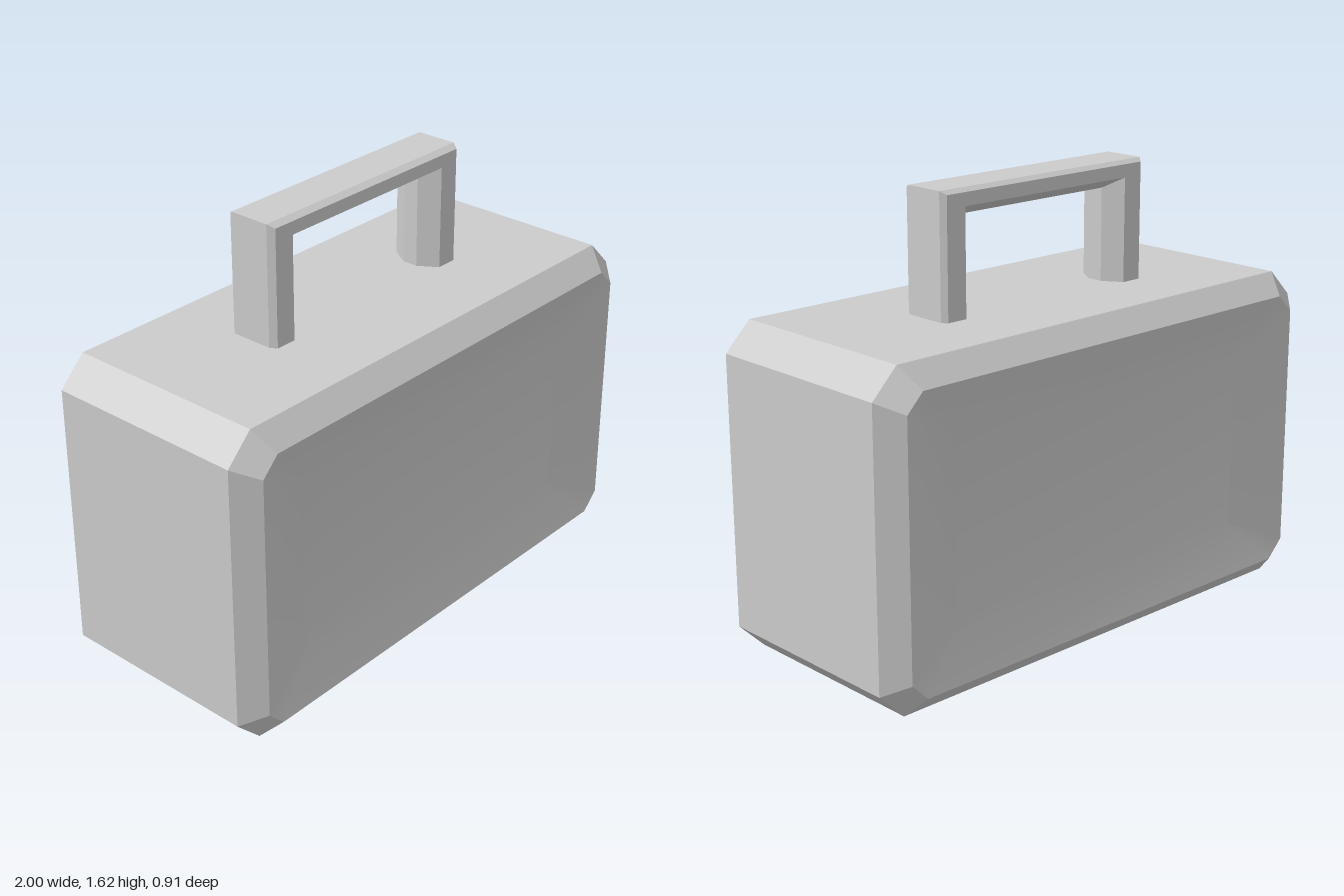
import * as THREE from 'three';
import { toCreasedNormals } from 'three/addons/utils/BufferGeometryUtils.js';

const material = new THREE.MeshStandardMaterial({ color: 0xcccccc });

// Skins a series of closed cross-sections; optionally caps both ends.
function loft(rings, caps) {
  const n = rings[0].length;
  const index = [];
  for (let r = 0; r < rings.length - 1; r++) {
    for (let i = 0; i < n; i++) {
      const a = r * n + i, b = r * n + (i + 1) % n;
      index.push(a, b, b + n, a, b + n, a + n);
    }
  }
  if (caps) {
    const last = (rings.length - 1) * n;
    for (let i = 1; i < n - 1; i++) {
      index.push(0, i + 1, i, last, last + i, last + i + 1);
    }
  }
  const geometry = new THREE.BufferGeometry();
  geometry.setAttribute('position', new THREE.Float32BufferAttribute(rings.flat(2), 3));
  geometry.setIndex(index);
  return toCreasedNormals(geometry, THREE.MathUtils.degToRad(22));
}

// Rectangle with cut corners, counter-clockwise seen from the front.
function cutRect(w, y0, y1, cut, z) {
  return [
    [w, y0 + cut, z], [w, y1 - cut, z], [w - cut, y1, z], [cut - w, y1, z],
    [-w, y1 - cut, z], [-w, y0 + cut, z], [cut - w, y0, z], [w - cut, y0, z],
  ];
}

export function createModel() {
  const model = new THREE.Group();

  // Case with bevelled rims and a shallow dished panel front and back
  const half = [[0.68, 0.25, 0.9, 0, 0.395], [0.925, 0.075, 1.105, 0.065, 0.455], [1, 0, 1.18, 0.1, 0.38]];
  const back = half.map(([w, y0, y1, cut, z]) => cutRect(w, y0, y1, cut, -z));
  const front = half.map((s) => cutRect(...s)).reverse();
  const body = new THREE.Mesh(loft([...back, ...front], true), material);
  body.name = 'caseBody';
  model.add(body);

  // Handle section: distance from centre on the legs, height on the bar, depth
  const section = [
    [0.475, 1.62, 0.055], [0.46, 1.607, 0.08], [0.38, 1.56, 0.08], [0.335, 1.52, 0.01],
    [0.335, 1.52, -0.05], [0.38, 1.56, -0.12], [0.46, 1.607, -0.12], [0.475, 1.62, -0.1],
  ];
  // Foot, mitred corner, mitred corner, foot
  const stations = [[1, true], [1, false], [-1, false], [-1, true]];
  const rings = stations.map(([side, foot]) =>
    section.map(([x, y, z]) => [side * x, foot ? 1.17 : y, z]).reverse());
  const handle = new THREE.Mesh(loft(rings, true), material);
  handle.name = 'handle';
  model.add(handle);

  return model;
}
